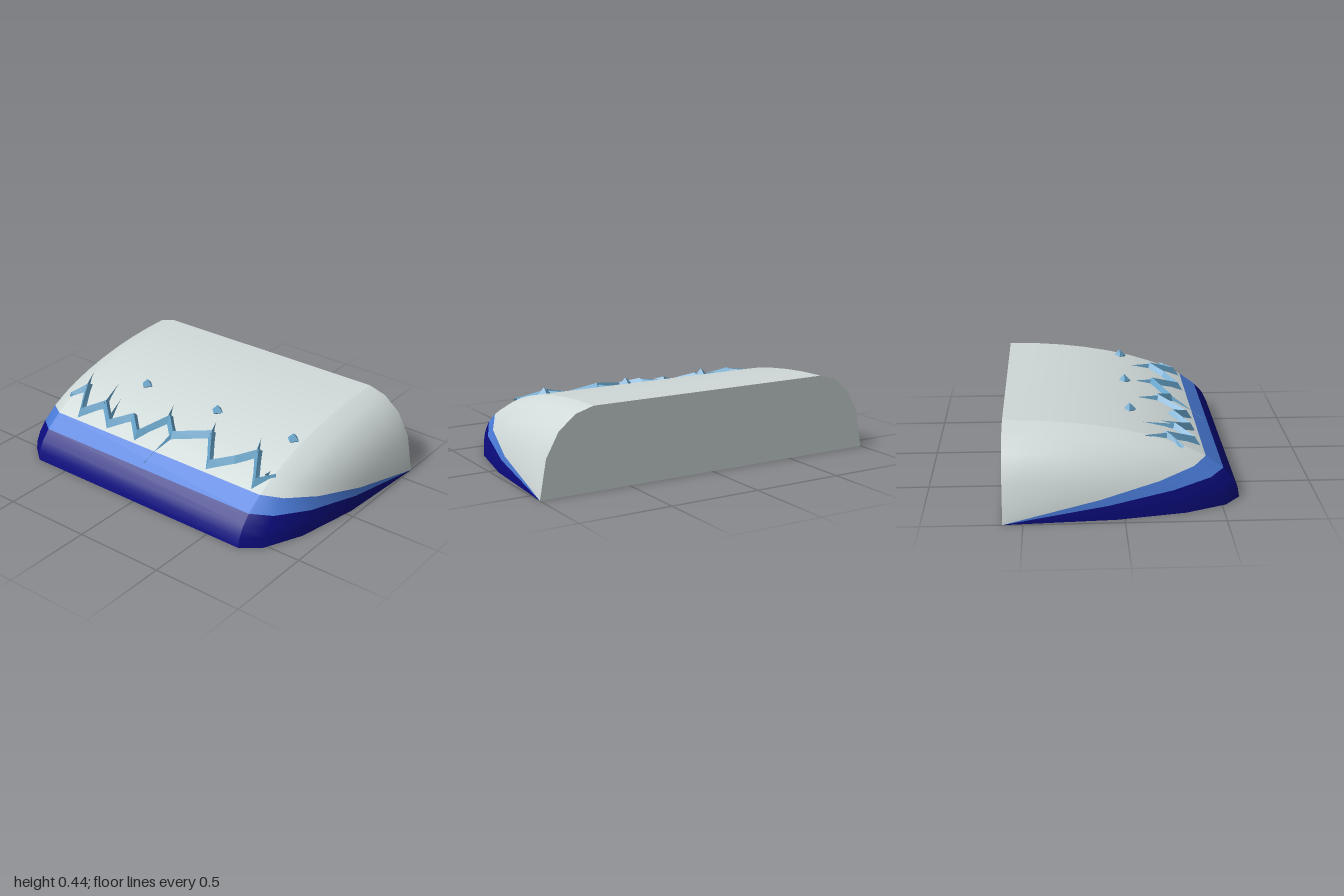
import * as THREE from 'three';

const RX = 1.2, RY = 0.435, BACK = 0.6;
const DEG = Math.PI / 180;

const mat = (name, color) => {
  const m = new THREE.MeshStandardMaterial({ color });
  m.name = name;
  return m;
};

// Point of the elliptical profile, shrunk towards the back bottom edge by s
const profile = (angle, s) => [BACK - RX * s * Math.cos(angle), RY * s * Math.sin(angle)];
const surfaceY = (x) => RY * Math.sqrt(Math.max(0, 1 - ((BACK - x) / RX) ** 2));

// Skin over rows of [x, y, z] points
function skin(rows, flat = false) {
  const n = rows[0].length, index = [];
  for (let i = 0; i < rows.length - 1; i++) {
    for (let j = 0; j < n - 1; j++) {
      const a = i * n + j, b = a + n;
      index.push(a, b, a + 1, b, b + 1, a + 1);
    }
  }
  let g = new THREE.BufferGeometry();
  g.setAttribute('position', new THREE.Float32BufferAttribute(rows.flat(2), 3));
  g.setIndex(index);
  if (flat) g = g.toNonIndexed();
  g.computeVertexNormals();
  return g;
}

// Ridge with a triangular section, mitred along [x, z] points; size 0 makes a sharp tip
function ridge(points, sizes, width, height) {
  const pts = points.map(([x, z]) => new THREE.Vector2(x, z));
  const rows = pts.map((p, i) => {
    const before = p.clone().sub(pts[Math.max(i - 1, 0)]).normalize();
    const after = pts[Math.min(i + 1, pts.length - 1)].clone().sub(p).normalize();
    const t = before.clone().add(after).normalize();
    const ref = i ? before : after;
    const w = sizes[i] * width / Math.max(0.5, t.dot(ref));
    const side = (k) => {
      const x = p.x + k * t.y * w, z = p.y - k * t.x * w;
      return [x, surfaceY(x) - 0.008, z];
    };
    return [side(-1), [p.x, surfaceY(p.x) + height * sizes[i], p.y], side(1)];
  });
  return skin(rows, true);
}

export function createModel() {
  const group = new THREE.Group();
  const grey = mat('pale grey', 0xd0dad9);
  const blue = mat('mid blue', 0x4a7bd8);
  const navy = mat('navy', 0x0c0c80);
  const ice = mat('ice blue', 0x66a3c9);

  const add = (name, geometry, material) => {
    const mesh = new THREE.Mesh(geometry, material);
    mesh.name = name;
    group.add(mesh);
    return mesh;
  };

  // Curved shell: three colour bands over the middle and both rounded ends
  const ends = [[0.7, 1], [0.8, 0.933], [0.893, 0.758], [0.963, 0.467], [1, 0]];
  const mirrored = ends.map(([z, s]) => [-z, s]).reverse();
  const sections = {
    Middle: [[-0.7, 1], [0.7, 1]],
    FrontEnd: ends,
    RearEnd: mirrored,
  };
  const bands = [
    ['lowerBand', 0, 21.7, 3, navy],
    ['stripe', 21.7, 31.5, 1, blue],
    ['topShell', 31.5, 90, 8, grey],
  ];
  for (const [section, stations] of Object.entries(sections)) {
    for (const [band, from, to, steps, material] of bands) {
      const rows = stations.map(([z, s]) => Array.from({ length: steps + 1 }, (_, j) => {
        const [x, y] = profile((from + (to - from) * j / steps) * DEG, s);
        return [x, y, z];
      }));
      add(band + section, skin(rows), material);
    }
  }

  // Flat end wall and underside
  const outline = [...mirrored, ...ends];
  const wall = new THREE.Shape(outline.map(([z, s]) => new THREE.Vector2(z, RY * s)));
  add('endWall', new THREE.ShapeGeometry(wall).rotateY(Math.PI / 2).translate(BACK, 0, 0), grey);
  const base = new THREE.Shape(outline.map(([z, s]) => new THREE.Vector2(BACK - RX * s, z)));
  add('underside', new THREE.ShapeGeometry(base).rotateX(Math.PI / 2), navy);

  // Zigzag ridge along the shell
  const zigzag = [
    [-0.31, -0.72], [-0.225, -0.655], [-0.38, -0.565], [-0.285, -0.465], [-0.38, -0.355],
    [-0.295, -0.25], [-0.38, -0.155], [-0.225, -0.05], [-0.31, 0.04], [-0.22, 0.235],
    [-0.38, 0.345], [-0.31, 0.455], [-0.225, 0.545], [-0.38, 0.64], [-0.3, 0.71],
  ];
  const last = zigzag.length - 1;
  add('zigzagRidge', ridge(zigzag, zigzag.map((_, i) => (i === 0 || i === last ? 0.3 : 1)), 0.024, 0.032), ice);

  // Thorns branching off the zigzag
  const thorns = [
    [-0.24, -0.655, -0.115, -0.715], [-0.3, -0.465, -0.115, -0.515],
    [-0.36, -0.375, -0.215, -0.415], [-0.24, -0.055, -0.115, -0.11],
    [-0.3, 0.04, -0.49, -0.015], [-0.24, 0.24, -0.12, 0.19],
    [-0.24, 0.545, -0.115, 0.485], [-0.25, -0.67, -0.29, -0.73],
    [-0.34, 0.67, -0.29, 0.67],
  ];
  for (const [x0, z0, x1, z1] of thorns) {
    add('thorn', ridge([[x0, z0], [x1, z1]], [1, 0], 0.018, 0.028), ice);
  }

  // Row of small pointed studs
  for (const z of [-0.355, 0.145, 0.645]) {
    add('stud', new THREE.OctahedronGeometry(0.036), ice).position.set(-0.055, 0.365, z);
  }
  return group;
}
